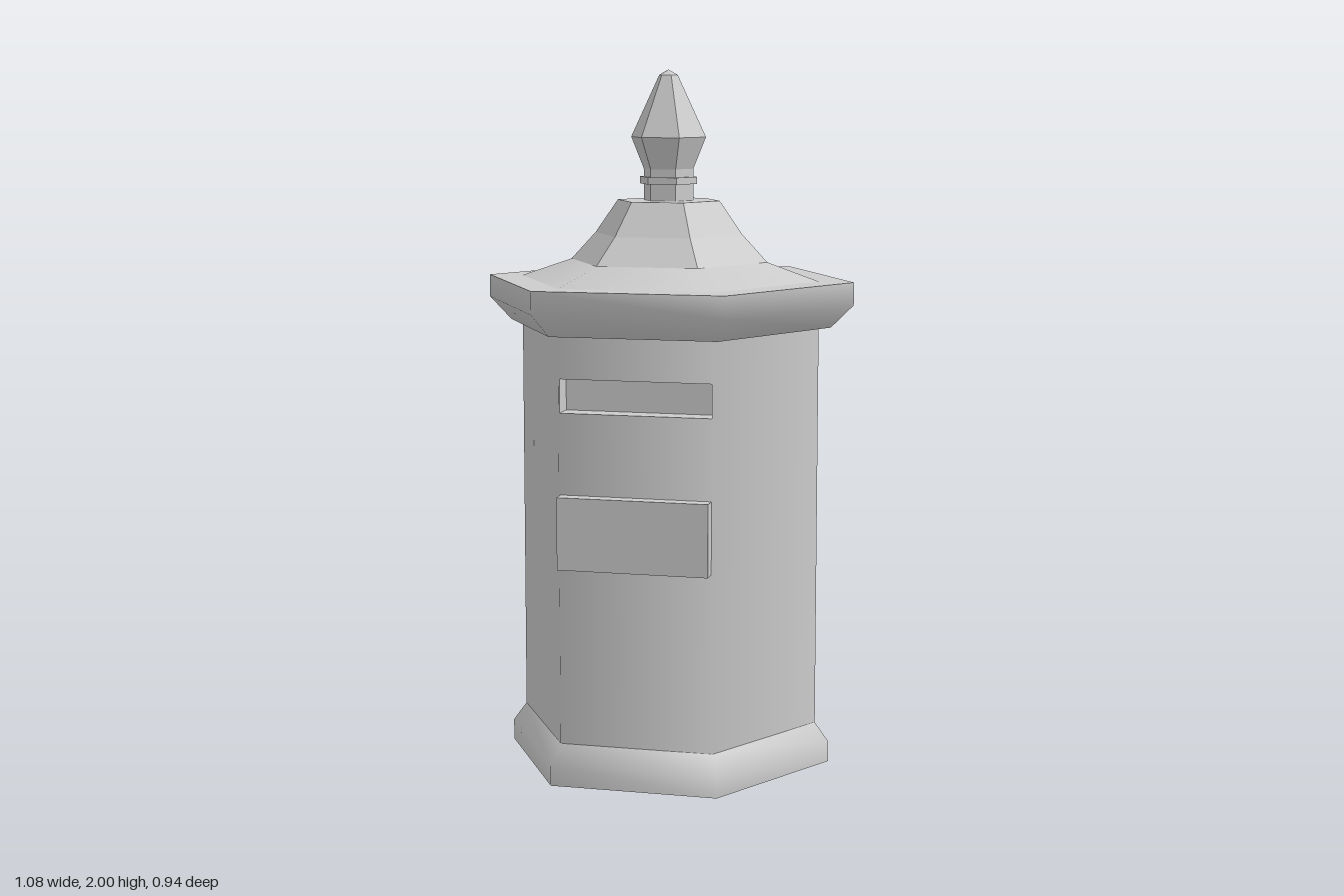
import * as THREE from 'three';

const material = new THREE.MeshStandardMaterial({ color: 0xcccccc, side: THREE.DoubleSide });
const R = 0.44;                       // body corner radius
const FACE = R * Math.cos(Math.PI / 6); // distance to the front face

function add(group, name, geometry) {
  const mesh = new THREE.Mesh(geometry, material);
  mesh.name = name;
  group.add(mesh);
  return mesh;
}

// Six-sided turned shape from [radius, height] points, corners on the x axis
function hex(profile, flat = false, sides = 6) {
  const points = profile.map(([r, y]) => new THREE.Vector2(r, y));
  const geometry = new THREE.LatheGeometry(points, sides, Math.PI / 6, sides * Math.PI / 3);
  if (!flat) return geometry;
  const faceted = geometry.toNonIndexed();
  faceted.computeVertexNormals();
  return faceted;
}

function rectangle(Type, w, y0, y1) {
  const s = new Type();
  s.moveTo(-w, y0);
  s.lineTo(w, y0);
  s.lineTo(w, y1);
  s.lineTo(-w, y1);
  s.closePath();
  return s;
}

export function createModel() {
  const group = new THREE.Group();

  // Foot with a bevelled upper edge
  add(group, 'base', hex([[0.48, 0], [0.48, 0.06], [R, 0.115]]));
  add(group, 'baseUnderside', hex([[0, 0], [0.48, 0]], true));

  // Five plain body walls, then the front wall with the slot cut out
  add(group, 'bodyWalls', hex([[R, 0.06], [R, 1.3]], false, 5));
  const slot = { w: 0.216, y0: 1.06, y1: 1.155, depth: 0.065 };
  const wall = rectangle(THREE.Shape, R / 2, 0.06, 1.3);
  wall.holes.push(rectangle(THREE.Path, slot.w, slot.y0, slot.y1));
  const front = new THREE.ShapeGeometry(wall).translate(0, 0, FACE);
  const p = front.attributes.position, n = front.attributes.normal;
  for (let i = 0; i < p.count; i++) {
    const v = new THREE.Vector3(p.getX(i), 0, p.getZ(i)).normalize();
    n.setXYZ(i, v.x, v.y, v.z);
  }
  add(group, 'frontWall', front);

  // Recess behind the slot: floor, ceiling, ends and back
  const recess = new THREE.Group();
  recess.name = 'letterSlot';
  recess.position.set(0, (slot.y0 + slot.y1) / 2, FACE - slot.depth / 2);
  const h = slot.y1 - slot.y0, w = slot.w * 2, d = slot.depth;
  add(recess, 'slotBack', new THREE.PlaneGeometry(w, h)).position.z = -d / 2;
  for (const s of [-1, 1]) {
    const level = add(recess, s < 0 ? 'slotFloor' : 'slotCeiling', new THREE.PlaneGeometry(w, d));
    level.position.y = s * h / 2;
    level.rotation.x = s * Math.PI / 2;
    const end = add(recess, s < 0 ? 'slotRightEnd' : 'slotLeftEnd', new THREE.PlaneGeometry(d, h));
    end.position.x = s * w / 2;
    end.rotation.y = -s * Math.PI / 2;
  }
  group.add(recess);

  // Raised notice plate on the front
  add(group, 'noticePlate', new THREE.BoxGeometry(0.43, 0.205, 0.06)).position.set(0, 0.7275, FACE + 0.012);

  // Overhanging cornice
  add(group, 'cornice', hex([[0.475, 1.275], [0.54, 1.34], [0.54, 1.405]]));
  add(group, 'corniceUnderside', hex([[0.42, 1.275], [0.475, 1.275]], true));
  add(group, 'corniceTop', hex([[0.54, 1.405], [0.42, 1.405]], true));

  // Shallow skirt and steep faceted roof
  add(group, 'roofSkirt', hex([[R, 1.405], [0.29, 1.457]]));
  add(group, 'roof', hex([[0.29, 1.457], [0.217, 1.535], [0.15, 1.63], [0, 1.63]], true));

  // Finial: stem, collar and pointed bud
  add(group, 'finialStem', hex([[0.073, 1.63], [0.073, 1.72]], true));
  add(group, 'finialCollar', hex([[0.06, 1.677], [0.084, 1.677], [0.084, 1.697], [0.06, 1.697]], true));
  add(group, 'finialBud', hex([[0.07, 1.697], [0.073, 1.72], [0.11, 1.81], [0.027, 1.985], [0, 2]], true));

  return group;
}
